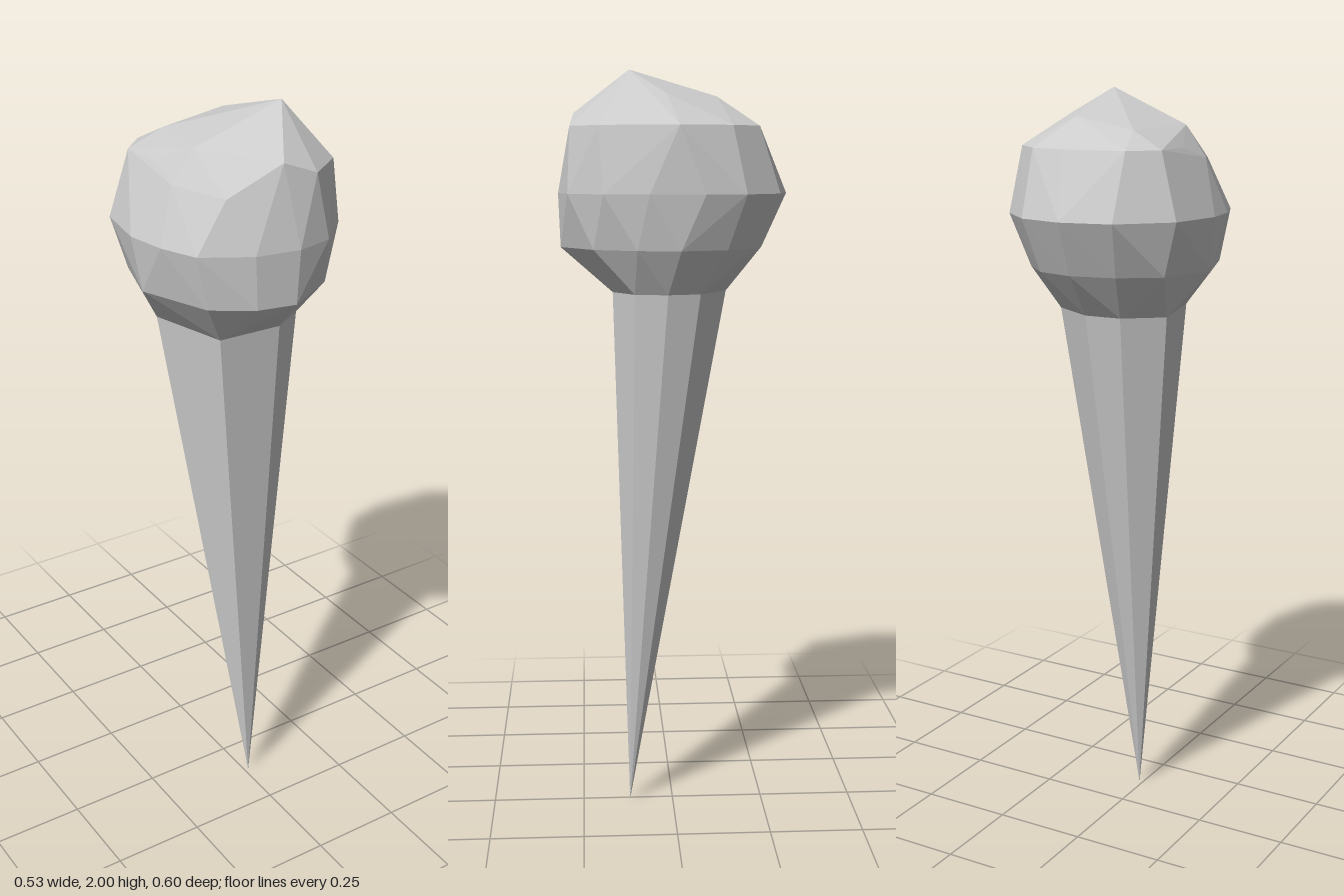
import * as THREE from 'three';
import { ConvexGeometry } from 'three/addons/geometries/ConvexGeometry.js';

const material = new THREE.MeshStandardMaterial({
  color: 0xcccccc, flatShading: true, side: THREE.DoubleSide,
});

// Uneven octagonal mouth of the cone, as [x, z] going round from the front
const rim = [
  [-0.11, 0.155], [0.065, 0.16], [0.155, 0.105], [0.175, 0.02],
  [0.15, -0.065], [0.03, -0.14], [-0.07, -0.135], [-0.165, -0.06],
];
const RIM_Y = 1.435;

// Levels of the lumpy scoop, as [x, z] outlines at a height
const levels = [
  { y: RIM_Y, outline: rim },
  { y: 1.55, outline: [
    [0.02, 0.295], [0.165, 0.21], [0.225, 0.1], [0.24, -0.01], [0.2, -0.13], [0.12, -0.21],
    [0.02, -0.235], [-0.1, -0.21], [-0.2, -0.14], [-0.25, 0.02], [-0.18, 0.21], [-0.08, 0.275],
  ] },
  { y: 1.69, outline: [
    [0.025, 0.3], [0.125, 0.275], [0.22, 0.185], [0.255, 0.07], [0.262, -0.07],
    [0.235, -0.175], [0.135, -0.27], [0.01, -0.3], [-0.125, -0.27], [-0.24, -0.155],
    [-0.268, 0], [-0.25, 0.11], [-0.21, 0.21], [-0.09, 0.28],
  ] },
  { y: 1.86, outline: [
    [0.09, 0.268], [0.19, 0.195], [0.262, -0.005], [0.215, -0.14], [0.135, -0.215],
    [0.04, -0.225], [-0.125, -0.205], [-0.19, -0.14], [-0.185, -0.02],
  ] },
];

// Bumps on the crown, with the off-centre peak first
const crown = [
  [0.09, 2, 0.115], [0.16, 1.94, 0.025], [0.07, 1.935, -0.11], [-0.1, 1.905, -0.12],
  [-0.14, 1.91, 0.085], [0, 1.895, 0.258], [-0.2, 1.83, 0.08], [-0.135, 1.82, 0.22],
];

// Slender cone: a fan from the rim down to the tip
function coneGeometry(tip) {
  const positions = [];
  rim.forEach(([x, z], i) => {
    const [nx, nz] = rim[(i + 1) % rim.length];
    positions.push(x, RIM_Y, z, ...tip, nx, RIM_Y, nz);
  });
  const geometry = new THREE.BufferGeometry();
  geometry.setAttribute('position', new THREE.Float32BufferAttribute(positions, 3));
  geometry.computeVertexNormals();
  return geometry;
}

// Faceted scoop wrapped around the levels and the crown
function scoopGeometry() {
  const points = crown.map((p) => new THREE.Vector3(...p));
  for (const { y, outline } of levels) {
    for (const [x, z] of outline) points.push(new THREE.Vector3(x, y, z));
  }
  return new ConvexGeometry(points);
}

export function createModel() {
  const model = new THREE.Group();
  model.name = 'iceCreamCone';

  const cone = new THREE.Mesh(coneGeometry([0.01, 0, 0.12]), material);
  cone.name = 'cone';

  const scoop = new THREE.Mesh(scoopGeometry(), material);
  scoop.name = 'scoop';

  model.add(cone, scoop);
  return model;
}
